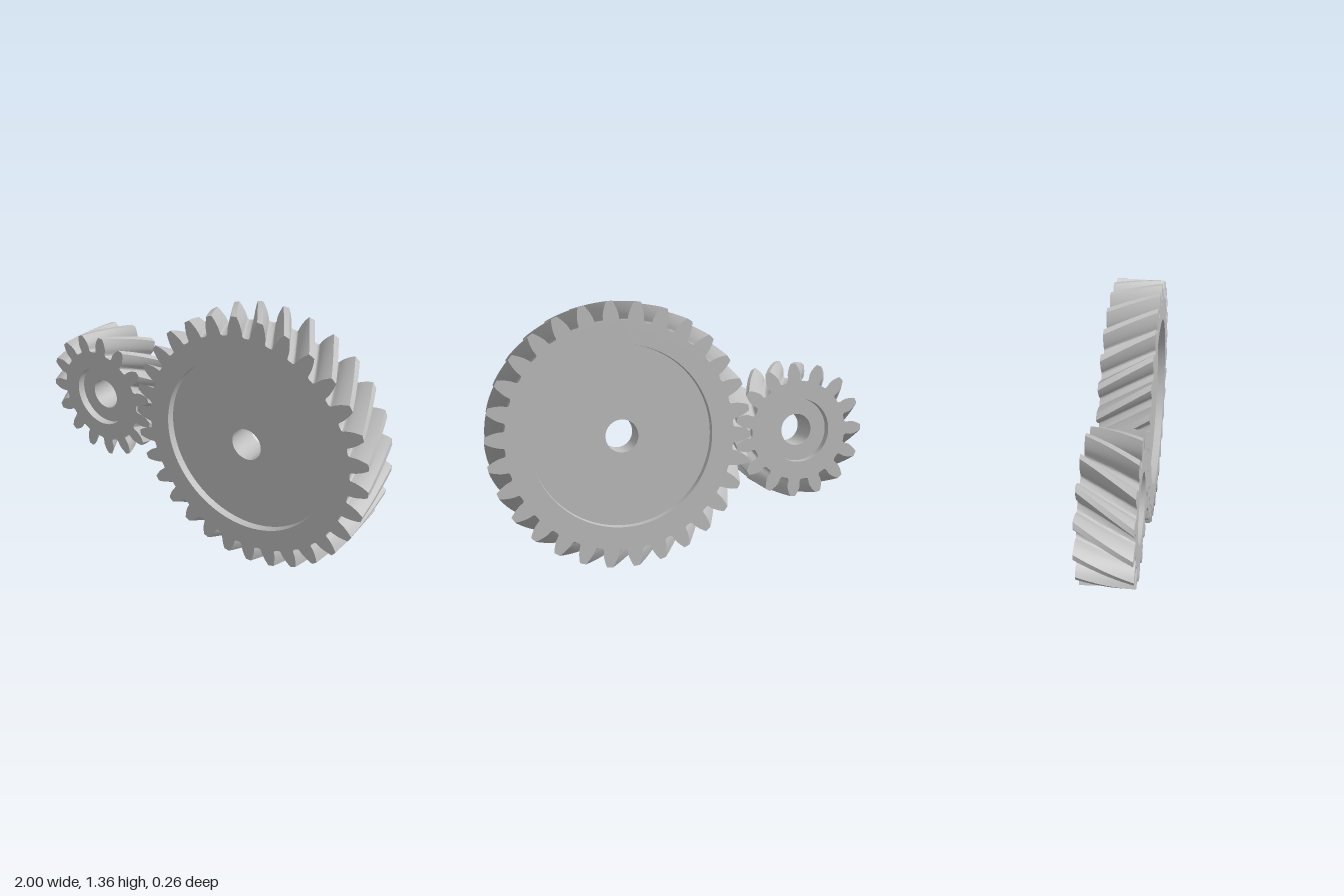
import * as THREE from 'three';
import { toCreasedNormals, mergeVertices } from 'three/addons/utils/BufferGeometryUtils.js';

const M = 2 / 47;              // tooth module: everything is a multiple of it
const H = 3 * M;               // half of the face width
const RECESS = M;              // depth of the dished web on each side
const BORE = 2 * M;
const PRESSURE = THREE.MathUtils.degToRad(20);
const HELIX = THREE.MathUtils.degToRad(30);
const SLICES = 14;

const involute = (a) => Math.tan(a) - a;
const polar = (r, a) => new THREE.Vector2(r * Math.cos(a), r * Math.sin(a));

// Right half of one tooth as [radius, half angle], from the root up to the tip
function halfTooth(teeth) {
  const pitch = teeth * M / 2, base = pitch * Math.cos(PRESSURE);
  const tip = pitch + M, root = pitch - 1.25 * M, start = root + 0.35 * M;
  const halfAngle = (r) => Math.PI / (2 * teeth) + involute(PRESSURE)
    - (r > base ? involute(Math.acos(base / r)) : 0);
  const points = [];
  const foot = halfAngle(start);
  // rounded root fillet
  for (let i = 0; i < 5; i++) {
    const t = i / 5;
    points.push([root + 0.35 * M * t * t, foot + 0.35 * M / root * (1 - t) ** 2]);
  }
  // involute flank
  for (let i = 0; i <= 7; i++) {
    const r = start + (tip - start) * i / 7;
    points.push([r, halfAngle(r)]);
  }
  return points;
}

// Whole toothed outline, counter-clockwise
function gearOutline(teeth, phase) {
  const half = halfTooth(teeth);
  const outline = [];
  for (let n = 0; n < teeth; n++) {
    const mid = phase + n * 2 * Math.PI / teeth;
    half.forEach(([r, a]) => outline.push(polar(r, mid - a)));
    outline.push(polar(half[half.length - 1][0], mid));
    [...half].reverse().forEach(([r, a]) => outline.push(polar(r, mid + a)));
    outline.push(polar(half[0][0], mid + Math.PI / teeth));
  }
  return outline;
}

// Tooth surface: the outline swept along z while it twists
function toothSurface(outline, twist) {
  const n = outline.length, positions = [], index = [];
  for (let k = 0; k <= SLICES; k++) {
    const z = H * (2 * k / SLICES - 1);
    const c = Math.cos(twist * z), s = Math.sin(twist * z);
    outline.forEach((p) => positions.push(p.x * c - p.y * s, p.x * s + p.y * c, z));
  }
  for (let k = 0; k < SLICES; k++) {
    for (let i = 0; i < n; i++) {
      const j = (i + 1) % n;
      const a = k * n + i, b = k * n + j, c = b + n, d = a + n;
      index.push(a, b, c, a, c, d);
    }
  }
  const geometry = new THREE.BufferGeometry();
  geometry.setAttribute('position', new THREE.Float32BufferAttribute(positions, 3));
  geometry.setIndex(index);
  return toCreasedNormals(geometry, 0.6);
}

// Flat toothed end face with the round recess cut out of it
function endFace(outline, twist, recessRadius, side) {
  const centre = new THREE.Vector2();
  const shape = new THREE.Shape(outline.map((p) => p.clone().rotateAround(centre, twist * H * side)));
  const hole = new THREE.Path();
  hole.absarc(0, 0, recessRadius, 0, Math.PI * 2, true);
  shape.holes.push(hole);
  const geometry = new THREE.ShapeGeometry(shape, 48);
  if (side < 0) {
    geometry.setIndex(Array.from(geometry.index.array).reverse());
    geometry.computeVertexNormals();
  }
  return geometry.translate(0, 0, H * side);
}

// Recess walls, web faces and bore in one turned profile
function hubSurface(recessRadius) {
  const floor = H - RECESS;
  const profile = [
    [recessRadius, H], [recessRadius, floor], [BORE, floor],
    [BORE, -floor], [recessRadius, -floor], [recessRadius, -H],
  ].map(([r, y]) => new THREE.Vector2(r, y));
  const geometry = new THREE.LatheGeometry(profile, 96).rotateX(Math.PI / 2);
  geometry.deleteAttribute('uv');
  geometry.deleteAttribute('normal');
  return toCreasedNormals(mergeVertices(geometry), 0.6);
}

function helicalGear(name, teeth, phase, hand, recessRadius, material) {
  const gear = new THREE.Group();
  gear.name = name;
  const twist = hand * Math.tan(HELIX) / (teeth * M / 2);
  const outline = gearOutline(teeth, phase);
  const add = (part, geometry) => {
    const mesh = new THREE.Mesh(geometry, material);
    mesh.name = part;
    gear.add(mesh);
  };
  add('helicalTeeth', toothSurface(outline, twist));
  add('frontFace', endFace(outline, twist, recessRadius, 1));
  add('backFace', endFace(outline, twist, recessRadius, -1));
  add('webAndBore', hubSurface(recessRadius));
  return gear;
}

export function createModel() {
  const model = new THREE.Group();
  model.name = 'helicalGearPair';
  const steel = new THREE.MeshStandardMaterial({ color: 0xbfbfbf });
  steel.name = 'grey steel';

  // The pinion tooth at mid width sits in a gap of the large gear
  const pinion = helicalGear('pinion', 15, 0, 1, 4 * M, steel);
  pinion.position.set(-1 + 8.5 * M, 16 * M, 0);
  const wheel = helicalGear('largeGear', 30, Math.PI / 30, -1, 11 * M, steel);
  wheel.position.set(1 - 16 * M, 16 * M, 0);

  model.add(pinion, wheel);
  return model;
}
